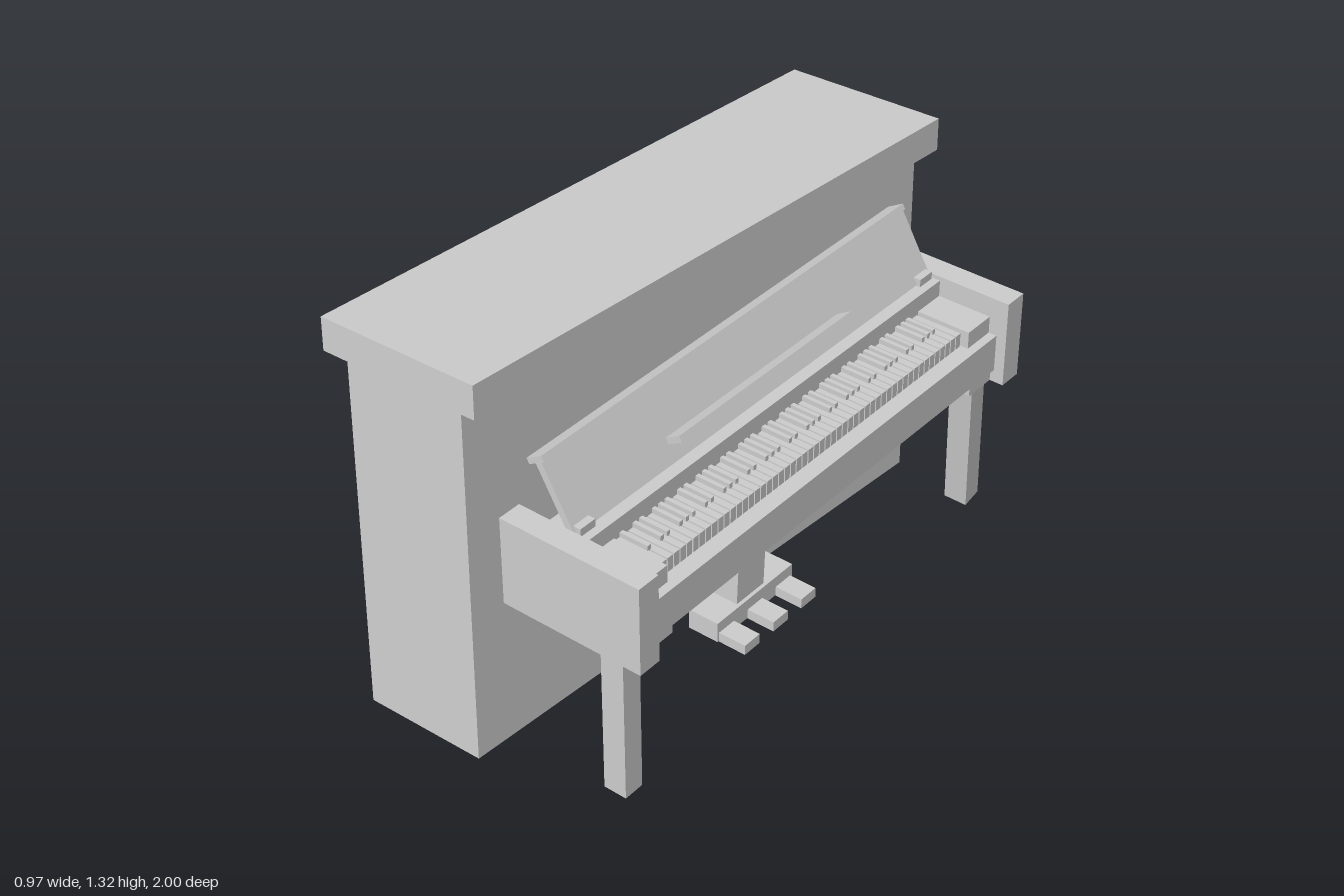
import * as THREE from 'three';

const material = new THREE.MeshStandardMaterial({ color: 0xcccccc, flatShading: true });

// Box from its centre and size
function box(parent, name, [x, y, z], [w, h, d]) {
  const mesh = new THREE.Mesh(new THREE.BoxGeometry(w, h, d), material);
  mesh.name = name;
  mesh.position.set(x, y, z);
  parent.add(mesh);
  return mesh;
}

// Box from its x, y and z ranges
function span(parent, name, [x0, x1], [y0, y1], [z0, z1]) {
  return box(parent, name,
    [(x0 + x1) / 2, (y0 + y1) / 2, (z0 + z1) / 2],
    [x1 - x0, y1 - y0, z1 - z0]);
}

function group(parent, name) {
  const g = new THREE.Group();
  g.name = name;
  parent.add(g);
  return g;
}

// Crooked upright case with its overhanging lid
function addCase(parent) {
  const g = group(parent, 'case');
  g.position.set(-0.155, 0.058, 0.044);
  g.rotation.set(-0.052, -0.016, 0.038);
  box(g, 'caseBody', [0, 0.55, 0], [0.4, 1.1, 1.91]);
  box(g, 'caseLid', [0, 1.15, 0], [0.53, 0.1, 1.95]);
}

// Cheeks, key bed, rails and end blocks
function addKeyBed(parent) {
  const g = group(parent, 'keyBed');
  span(g, 'bed', [0.02, 0.452], [0.6, 0.72], [-0.787, 0.787]);
  span(g, 'rearRail', [0.2, 0.248], [0.72, 0.827], [-0.787, 0.787]);
  for (const s of [1, -1]) {
    box(g, 'cheek', [0.2525, 0.7, s * 0.824], [0.465, 0.28, 0.076]);
    box(g, 'keyBlock', [0.335, 0.747, s * 0.733], [0.18, 0.055, 0.108]);
    box(g, 'legPlate', [0.26, 0.58, s * 0.733], [0.36, 0.04, 0.108]);
    box(g, 'hingeBlock', [0.208, 0.836, s * 0.75], [0.03, 0.03, 0.058]);
  }
}

// 52 white keys, with black keys between them in groups of two and three
function addKeys(parent) {
  const g = group(parent, 'keys');
  const count = 52, pitch = 1.352 / count;
  for (let i = 0; i < count; i++) {
    const z = 0.676 - (i + 0.5) * pitch;
    box(g, 'whiteKey', [0.323, 0.7425, z], [0.155, 0.045, pitch * 0.82]);
    const note = i % 7; // 0 is A; no black key after B and E
    if (note !== 1 && note !== 4 && i < count - 1) {
      box(g, 'blackKey', [0.294, 0.765, z - pitch / 2], [0.095, 0.03, pitch * 0.5]);
    }
  }
}

// Open fall board, leaning back, with its cap and music ledge
function addFallBoard(parent) {
  const g = group(parent, 'fallBoard');
  g.position.set(0.149, 0.915, 0);
  g.rotation.z = Math.PI / 6;
  box(g, 'board', [0, 0, 0], [0.023, 0.21, 1.574]);
  box(g, 'cap', [-0.008, 0.115, 0], [0.058, 0.018, 1.574]);
  box(g, 'musicLedge', [0.036, -0.044, 0], [0.056, 0.02, 0.76]);
}

// One straight leg and one crooked leg
function addLegs(parent) {
  box(parent, 'leftLeg', [0.353, 0.315, 0.786], [0.075, 0.53, 0.068]);
  const leg = box(parent, 'rightLeg', [0.349, 0.317, -0.813], [0.075, 0.53, 0.07]);
  leg.rotation.set(0.14, 0.05, -0.073);
}

// Pedal post, box and three pedals
function addPedals(parent) {
  const g = group(parent, 'pedalUnit');
  const post = box(g, 'pedalPost', [0.15, 0.37, 0.015], [0.082, 0.48, 0.124]);
  post.rotation.set(-0.045, 0, -0.003);
  span(g, 'pedalBox', [0.098, 0.202], [0.078, 0.145], [-0.158, 0.19]);
  for (const i of [-1, 0, 1]) {
    box(g, 'pedal', [0.245, 0.092, 0.017 + i * 0.132], [0.1, 0.033, 0.068]);
  }
}

export function createModel() {
  const model = new THREE.Group();
  model.name = 'uprightPiano';
  addCase(model);
  addKeyBed(model);
  addKeys(model);
  addFallBoard(model);
  addLegs(model);
  addPedals(model);
  return model;
}
